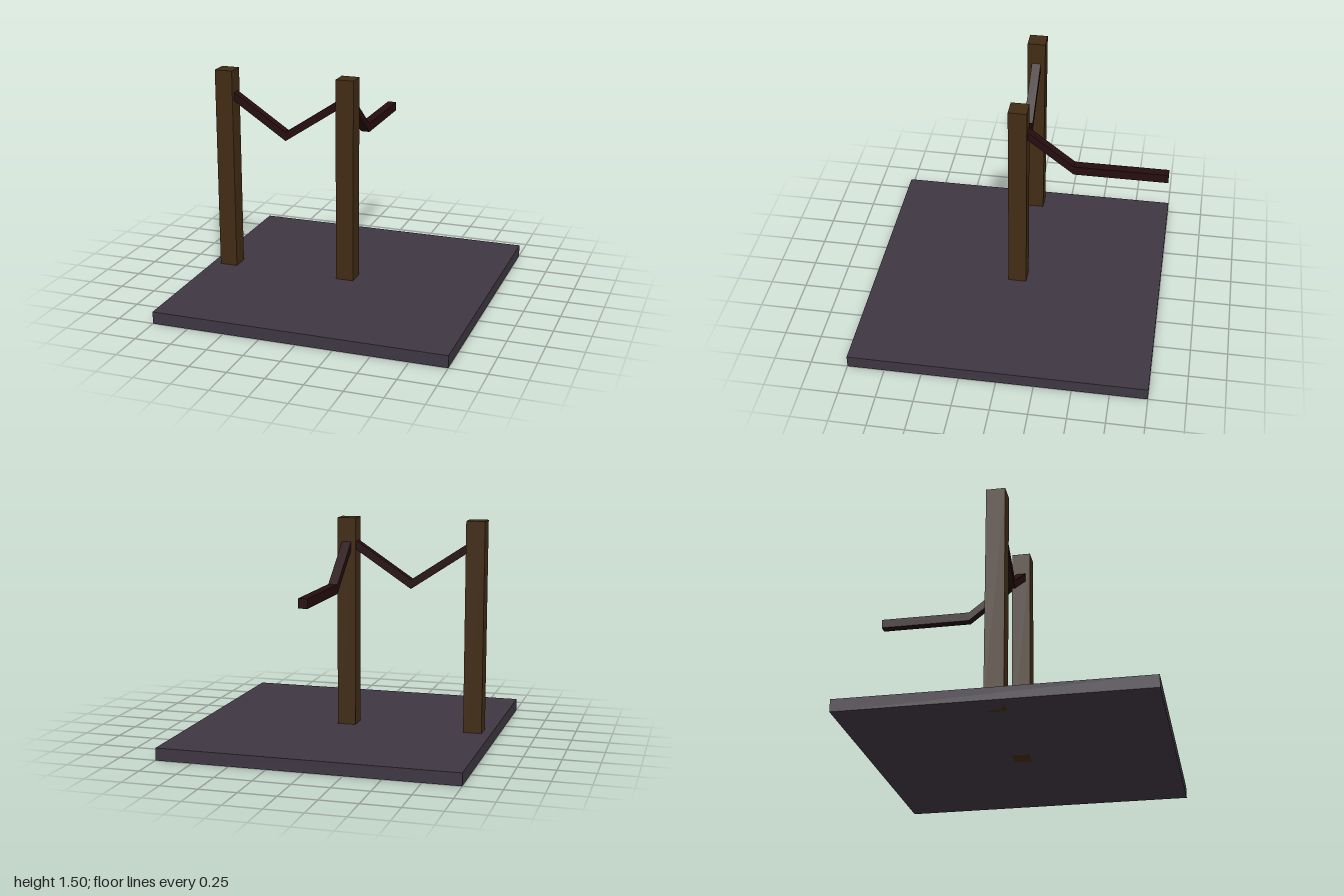
import * as THREE from 'three';

const paint = (color) => new THREE.MeshStandardMaterial({ color, flatShading: true });

export function createModel() {
  const group = new THREE.Group();
  const wood = paint(0x422c15);
  const ropeMaterial = paint(0x260d10);

  const add = (name, geometry, material, x = 0, y = 0, z = 0) => {
    const mesh = new THREE.Mesh(geometry, material);
    mesh.name = name;
    mesh.position.set(x, y, z);
    group.add(mesh);
    return mesh;
  };

  // ground slab
  add('groundSlab', new THREE.BoxGeometry(2, 0.083, 2), paint(0x3f3743), 0, 0.0415, 0);

  // square posts, running down through the slab
  const postGeometry = new THREE.BoxGeometry(0.125, 1.5, 0.125);
  add('cornerPost', postGeometry, wood, 0, 0.75, 0);
  add('sidePost', postGeometry, wood, -0.875, 0.75, 0);

  // square rope swept along a sagging centre line, given as [distance, height]
  const ropeWidth = 0.0625;
  const ropeGeometry = (line) => {
    const half = 0.031;
    const lower = line.map(([d, y]) => new THREE.Vector2(d, y - half));
    const upper = line.map(([d, y]) => new THREE.Vector2(d, y + half)).reverse();
    return new THREE.ExtrudeGeometry(new THREE.Shape([...lower, ...upper]), {
      depth: ropeWidth, bevelEnabled: false,
    }).translate(0, 0, -ropeWidth / 2);
  };

  // rope hanging between the two posts
  add('sideRope', ropeGeometry([[-0.83, 1.325], [-0.4375, 1.064], [-0.045, 1.325]]), ropeMaterial);

  // rope dropping from the corner post, then running level to the back edge
  const backRope = add('backRope', ropeGeometry([[0.045, 1.322], [0.375, 1.064], [1, 1.064]]), ropeMaterial);
  backRope.rotation.y = Math.PI / 2;

  return group;
}
